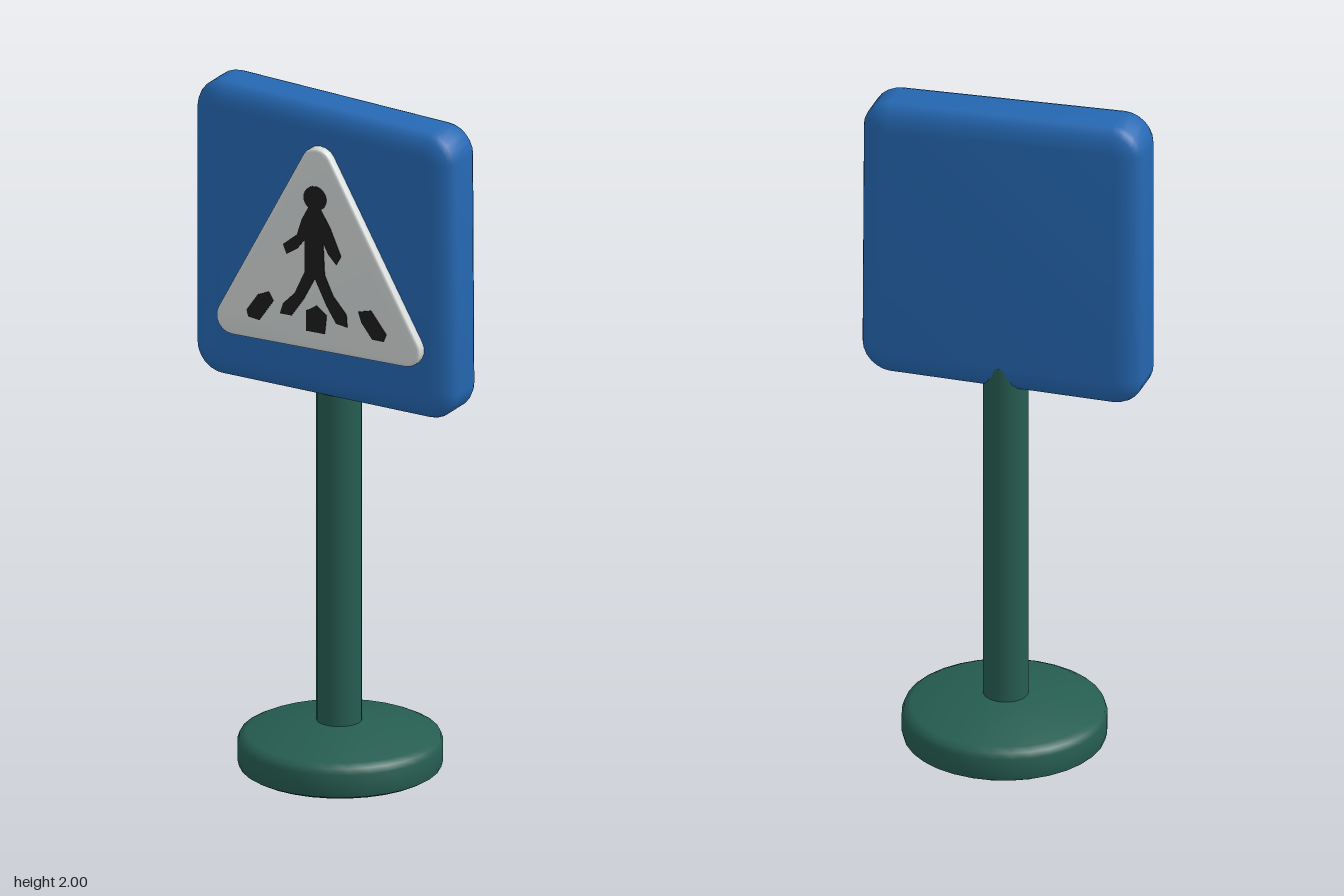
import * as THREE from 'three';
import { toCreasedNormals } from 'three/addons/utils/BufferGeometryUtils.js';

const mat = (name, color) => {
  const m = new THREE.MeshStandardMaterial({ color });
  m.name = name;
  return m;
};

// Outline around circles of radius r, centres listed counter-clockwise
function roundedOutline(centres, r) {
  const pts = [];
  const n = centres.length;
  const normalAngle = (a, b) => Math.atan2(b[1] - a[1], b[0] - a[0]) - Math.PI / 2;
  centres.forEach((c, i) => {
    const a0 = normalAngle(centres[(i + n - 1) % n], c);
    let a1 = normalAngle(c, centres[(i + 1) % n]);
    while (a1 < a0) a1 += Math.PI * 2;
    for (let k = 0; k <= 6; k++) {
      const a = a0 + (a1 - a0) * k / 6;
      pts.push(new THREE.Vector2(c[0] + r * Math.cos(a), c[1] + r * Math.sin(a)));
    }
  });
  return new THREE.Shape(pts);
}

// Bevelled plate between two depths; the bevel grows the outline outwards
function plate(shape, z0, z1, bevelSize, bevelThickness) {
  const g = new THREE.ExtrudeGeometry(shape, {
    depth: z1 - z0 - 2 * bevelThickness, bevelEnabled: bevelSize > 0,
    bevelSize, bevelThickness, bevelSegments: 4, curveSegments: 12,
  });
  g.translate(0, 0, z0 + bevelThickness);
  return toCreasedNormals(g, 0.7);
}

export function createModel() {
  const group = new THREE.Group();
  const blue = mat('signBlue', 0x2568b3);
  const green = mat('standGreen', 0x265d51);
  const white = mat('signWhite', 0xd6dbda);
  const black = mat('figureBlack', 0x1d1d1d);
  const add = (name, geometry, material) => {
    const mesh = new THREE.Mesh(geometry, material);
    mesh.name = name;
    group.add(mesh);
  };

  // Round foot with softened rim and shallow conical top
  const foot = [[0, 0], [0.27, 0], [0.284, 0.008], [0.288, 0.025], [0.288, 0.075],
    [0.282, 0.092], [0.262, 0.102], [0.07, 0.138], [0, 0.14]];
  add('foot', toCreasedNormals(new THREE.LatheGeometry(
    foot.map(([x, y]) => new THREE.Vector2(x, y)), 32), 0.8), green);

  // Pole, its back edge just showing behind the board
  const pole = new THREE.CylinderGeometry(0.064, 0.064, 1.08, 24);
  pole.translate(-0.003, 0.65, 0.001);
  add('pole', pole, green);

  // Slightly crooked board with pillowed edges
  const board = roundedOutline(
    [[-0.33, 1.215], [0.322, 1.2], [0.318, 1.873], [-0.33, 1.912]], 0.018);
  add('board', plate(board, -0.062, 0.097, 0.07, 0.036), blue);

  // White warning triangle
  const triangle = roundedOutline([[-0.28, 1.32], [0.27, 1.32], [-0.01, 1.82]], 0.04);
  add('triangle', plate(triangle, 0.085, 0.122, 0.01, 0.008), white);

  // Painted walking figure and crossing stripes
  const painted = (name, pts) => add(name, plate(
    new THREE.Shape(pts.map(([x, y]) => new THREE.Vector2(x, y))), 0.119, 0.125, 0, 0), black);
  painted('walkerBody', [
    [-0.03, 1.7], [0, 1.7], [0.035, 1.643], [0.07, 1.563], [0.055, 1.537], [0.03, 1.563],
    [0.013, 1.595], [0.018, 1.5], [0.045, 1.442], [0.087, 1.394], [0.09, 1.357],
    [0.055, 1.362], [0.024, 1.41], [-0.013, 1.484], [-0.05, 1.415], [-0.087, 1.362],
    [-0.124, 1.362], [-0.114, 1.394], [-0.077, 1.431], [-0.045, 1.5], [-0.045, 1.595],
    [-0.07, 1.563], [-0.103, 1.542], [-0.114, 1.57], [-0.07, 1.606], [-0.055, 1.653]]);
  const head = new THREE.Shape().absarc(-0.013, 1.722, 0.036, 0, Math.PI * 2);
  add('walkerHead', plate(head, 0.119, 0.125, 0, 0), black);
  painted('stripeLeft', [
    [-0.225, 1.335], [-0.19, 1.33], [-0.145, 1.395], [-0.16, 1.42], [-0.195, 1.405], [-0.23, 1.355]]);
  painted('stripeMiddle', [
    [-0.04, 1.325], [0.018, 1.325], [0.024, 1.38], [-0.008, 1.405], [-0.04, 1.385]]);
  painted('stripeRight', [
    [0.17, 1.335], [0.205, 1.335], [0.214, 1.357], [0.165, 1.42], [0.125, 1.41], [0.135, 1.38]]);

  return group;
}
